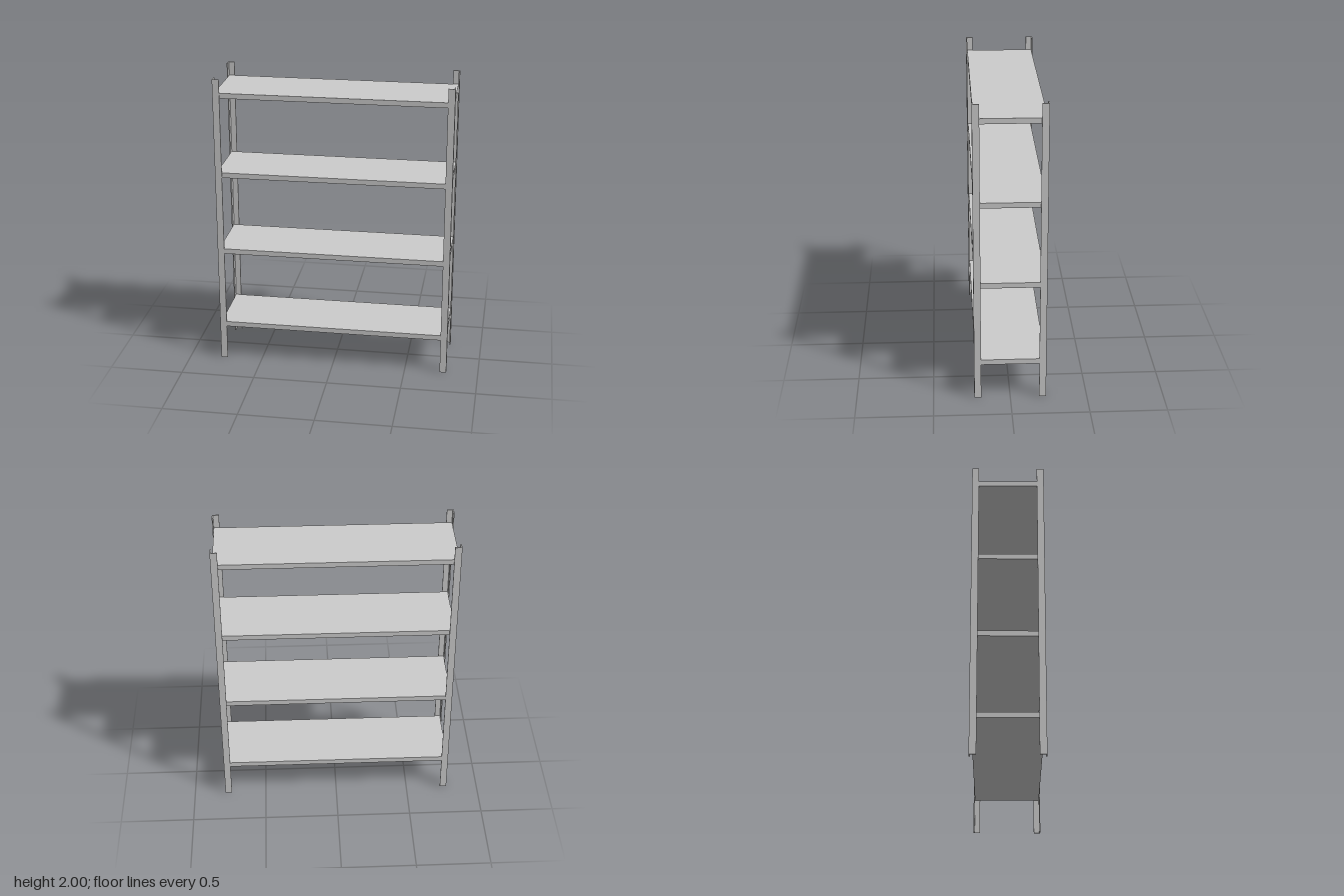
import * as THREE from 'three';

const HX = 0.785, HZ = 0.234;      // outer half width and half depth
const FLANGE = 0.045, T = 0.008;   // angle-iron flange width and thickness
const HEIGHT = 2, SHELF_T = 0.035;

// L-section upright with its corner at the origin, flanges pointing along the signs
function anglePost(sx, sz) {
  const pts = [[0, 0], [FLANGE, 0], [FLANGE, T], [T, T], [T, FLANGE], [0, FLANGE]];
  const shape = new THREE.Shape(pts.map(([x, z]) => new THREE.Vector2(-sx * x, sz * z)));
  const geo = new THREE.ExtrudeGeometry(shape, { depth: HEIGHT, bevelEnabled: false });
  geo.rotateX(-Math.PI / 2); // shape y becomes -z, extrusion goes up
  geo.translate(sx * HX, 0, sz * HZ);
  return geo;
}

export function createModel() {
  const group = new THREE.Group();
  const material = new THREE.MeshStandardMaterial({ color: 0xcccccc });
  const add = (geo, name) => {
    const mesh = new THREE.Mesh(geo, material);
    mesh.name = name;
    group.add(mesh);
    return mesh;
  };

  // Four corner uprights
  for (const sx of [-1, 1]) {
    for (const sz of [-1, 1]) {
      add(anglePost(sx, sz), (sz > 0 ? 'front' : 'back') + (sx > 0 ? 'Left' : 'Right') + 'Post');
    }
  }

  // Evenly spaced shelves nested inside the uprights
  for (let i = 0; i < 4; i++) {
    const shelf = add(new THREE.BoxGeometry(2 * (HX - T), SHELF_T, 2 * (HZ - T)), 'shelf' + (i + 1));
    shelf.position.y = 0.255 + i * 0.545;
  }
  return group;
}
